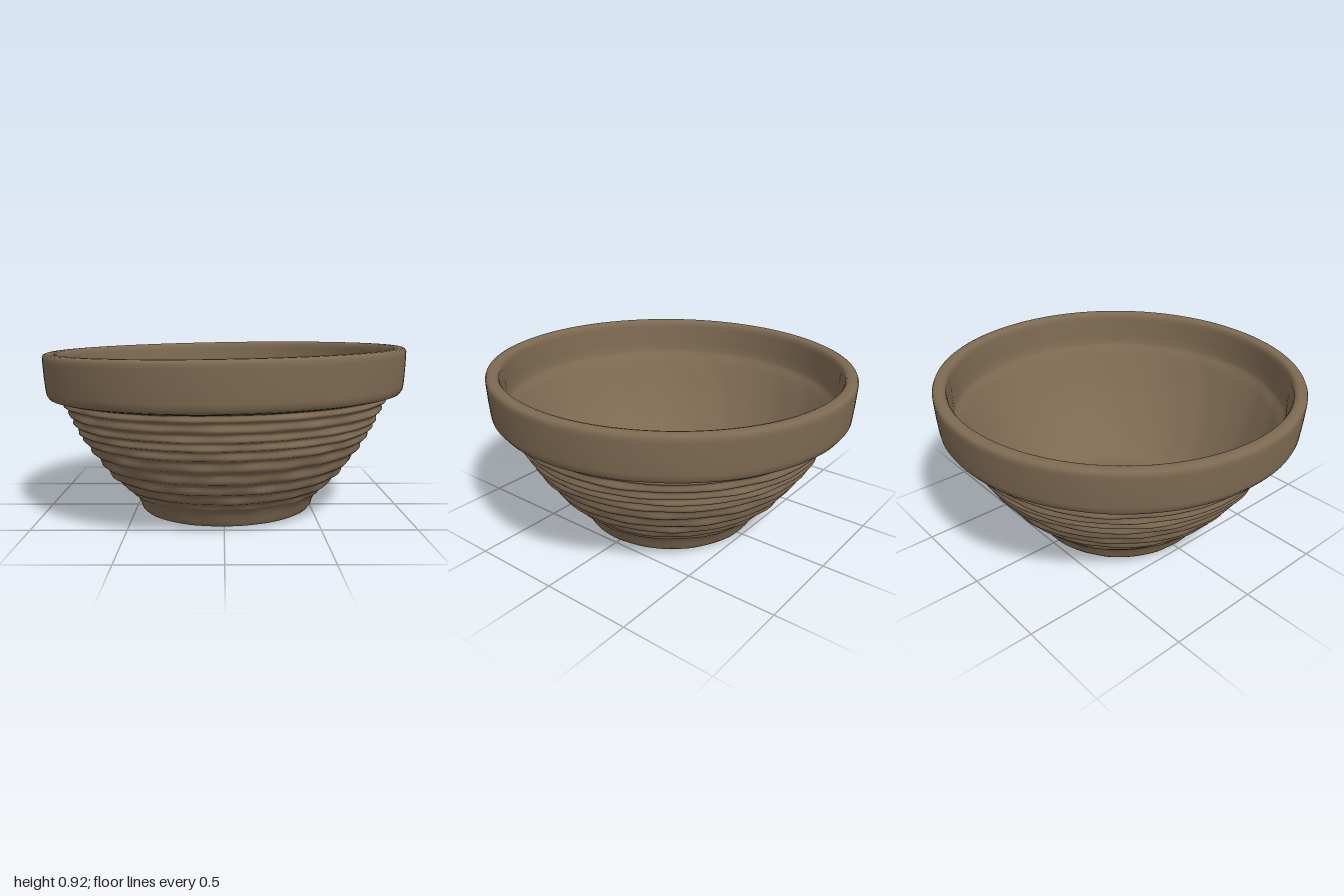
import * as THREE from 'three';
import { mergeVertices } from 'three/addons/utils/BufferGeometryUtils.js';

const SEGMENTS = 128;

// Outer wall: a flared curve with throwing ridges
function wallPoints() {
  const curve = new THREE.SplineCurve([
    [0.53, 0.1], [0.665, 0.24], [0.785, 0.41], [0.85, 0.53], [0.9, 0.645],
  ].map(([r, y]) => new THREE.Vector2(r, y)));
  const points = [];
  const steps = 80;
  for (let i = 0; i <= steps; i++) {
    const t = i / steps;
    const p = curve.getPoint(t);
    const n = curve.getTangent(t);
    const ridge = 0.008 * Math.sin(t * Math.PI * 2 * 10) * Math.sin(Math.PI * Math.min(1, t * 4 + 0.1) / 2);
    points.push([p.x + n.y * ridge, p.y - n.x * ridge]);
  }
  return points;
}

// Hand-worked unevenness, strongest on the ridged wall
function roughen(geometry) {
  const pos = geometry.attributes.position;
  for (let i = 0; i < pos.count; i++) {
    const x = pos.getX(i), y = pos.getY(i), z = pos.getZ(i);
    const r = Math.hypot(x, z), a = Math.atan2(z, x);
    const outerR = 0.5 + 0.6 * y;
    const onWall = y > 0.1 && y < 0.65 && r > outerR - 0.08;
    const amount = onWall ? 0.004 : r > 0.2 && y < 0.7 ? 0.0015 : 0;
    const wave = Math.sin(a * 7 + y * 31) * 0.5 + Math.sin(a * 13 - y * 47 + 1) * 0.5
      + Math.sin(a * 22 + y * 70 + 2) * 0.4;
    const s = (r + amount * wave) / r;
    pos.setXYZ(i, x * s, y, z * s);
  }
}

export function createModel() {
  const group = new THREE.Group();
  group.name = 'bowl';
  const clay = new THREE.MeshStandardMaterial({ color: 0x7e6a52 });
  clay.name = 'brown clay';

  const profile = [
    // Underside, slightly hollow around the drain hole
    [0.085, 0.03], [0.095, 0.022], [0.28, 0.02], [0.33, 0.008], [0.38, 0.0],
    [0.455, 0.0], [0.475, 0.004], [0.486, 0.016],
    // Foot
    [0.492, 0.035], [0.505, 0.065], [0.518, 0.088],
    ...wallPoints(),
    // Thick rim band
    [0.91, 0.653], [0.95, 0.655], [0.972, 0.662], [0.985, 0.68], [0.989, 0.705],
    [0.995, 0.78], [0.999, 0.86], [0.999, 0.88], [0.993, 0.893], [0.98, 0.899],
    [0.955, 0.9], [0.938, 0.895], [0.929, 0.882], [0.925, 0.86],
    // Inner band, ledge and bowl
    [0.918, 0.76], [0.912, 0.71], [0.903, 0.688], [0.885, 0.668], [0.865, 0.635],
    [0.81, 0.53], [0.74, 0.415], [0.65, 0.295], [0.56, 0.195], [0.49, 0.13],
    [0.45, 0.105], [0.42, 0.097], [0.38, 0.095],
    // Floor and drain hole
    [0.2, 0.093], [0.1, 0.09], [0.088, 0.086], [0.085, 0.078], [0.085, 0.03],
  ].map(([r, y]) => new THREE.Vector2(r, y));

  const lathe = new THREE.LatheGeometry(profile, SEGMENTS);
  lathe.deleteAttribute('uv');
  lathe.deleteAttribute('normal');
  const geometry = mergeVertices(lathe, 1e-5);
  roughen(geometry);
  geometry.computeVertexNormals();

  // The bowl sits a little crooked
  geometry.rotateZ(0.0175);
  geometry.translate(0.015, 0.008, 0);

  const body = new THREE.Mesh(geometry, clay);
  body.name = 'bowlBody';
  group.add(body);
  return group;
}
